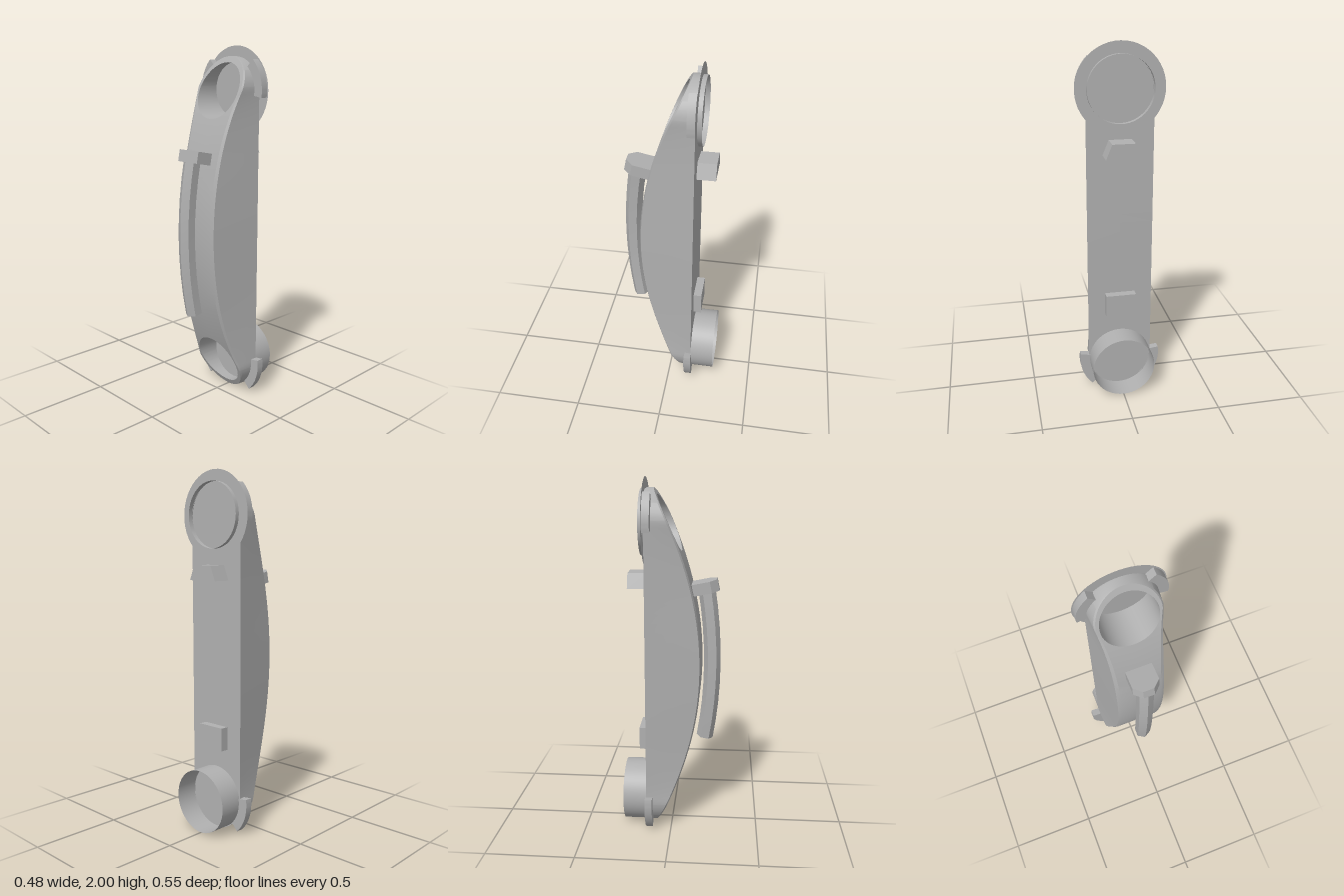
import * as THREE from 'three';
import { toCreasedNormals } from 'three/addons/utils/BufferGeometryUtils.js';

const LOW = 0.183, HIGH = 1.76;      // centres of the two round ends
const R = 0.183, HOLE = 0.15, BACK = -0.14;
const MID = (LOW + HIGH) / 2, HALF = (HIGH - LOW) / 2 + R;

// Distance of a height beyond the straight part, and half widths at that height
const chord = (r, d) => Math.sqrt(Math.max(0, r * r - d * d));
const outerX = y => chord(R, Math.max(0, LOW - y, y - HIGH));
const holeX = y => chord(HOLE, Math.min(Math.abs(y - LOW), Math.abs(y - HIGH)));
const frontZ = y => -0.10 + 0.265 * (1 - ((y - MID) / HALF) ** 2);

// Right half of the cross-section at height y: hole wall, front, bevel, side, back
function section(y) {
  const bx = outerX(y), hx = holeX(y), z = frontZ(y), k = bx / R;
  const t = Math.min(1, Math.abs(y - MID) / 0.8) ** 4;
  const fx = k * (0.136 + 0.038 * t), bevel = k * (0.019 - 0.012 * t);
  return [[hx, BACK], [hx, z], [fx - bevel, z], [fx, z - 0.008], [bx, BACK], [hx, BACK]]
    .map(([x, pz]) => new THREE.Vector3(x, y, pz));
}

function bodyGeometry() {
  const ys = [];
  for (const c of [LOW, HIGH]) {
    for (let i = 0; i <= 24; i++) {
      const a = Math.cos(i / 24 * Math.PI);
      ys.push(c + HOLE * a);
      if ((c === LOW) === (a < 0)) ys.push(c + R * a);
    }
  }
  for (let i = 1; i < 24; i++) ys.push(LOW + HOLE + i / 24 * (HIGH - LOW - 2 * HOLE));
  ys.push(MID - HALF, MID + HALF);
  ys.sort((a, b) => a - b);
  const rows = ys.filter((y, i) => i === 0 || y - ys[i - 1] > 1e-5).map(section);
  const pos = [];
  const tri = (a, b, c) => {
    const area = b.clone().sub(a).cross(c.clone().sub(a)).length();
    if (area < 1e-10) return;
    for (const p of [a, b, c]) pos.push(p.x, p.y, p.z);
    for (const p of [a, c, b]) pos.push(-p.x, p.y, p.z);
  };
  for (let j = 0; j + 1 < rows.length; j++) {
    const p = rows[j], q = rows[j + 1];
    for (let i = 0; i < 5; i++) {
      if (i === 0 && p[0].x < 1e-4 && q[0].x < 1e-4) continue;
      tri(p[i], p[i + 1], q[i + 1]);
      tri(p[i], q[i + 1], q[i]);
    }
  }
  const g = new THREE.BufferGeometry();
  g.setAttribute('position', new THREE.Float32BufferAttribute(pos, 3));
  return toCreasedNormals(g, 0.4);
}

// Straight extrusion of a polygon
function prism(points, depth) {
  const shape = new THREE.Shape(points.map(([x, y]) => new THREE.Vector2(x, y)));
  return new THREE.ExtrudeGeometry(shape, { depth, bevelEnabled: false });
}

// Curved lug: a sector of a ring
function lugGeometry() {
  const a = -0.15, b = 0.79, s = new THREE.Shape();
  s.absarc(0, 0, 0.234, a, b, false);
  s.absarc(0, 0, 0.175, b, a, true);
  s.closePath();
  const g = new THREE.ExtrudeGeometry(s, { depth: 0.041, bevelEnabled: false, curveSegments: 8 });
  return toCreasedNormals(g, 0.5);
}

// Six-sided rod bowed along the front
function rodGeometry() {
  const len = 0.88, g = new THREE.CylinderGeometry(0.047, 0.047, len, 6, 8);
  const p = g.attributes.position;
  for (let i = 0; i < p.count; i++) {
    const x = p.getX(i), y = p.getY(i), z = p.getZ(i), u = y / (len / 2);
    const slope = -0.19 * u;
    p.setXYZ(i, x + 0.005 - 0.011 * (1 - u * u), y + 0.97 - z * slope, z + 0.187 + 0.038 * (1 - u * u));
  }
  return toCreasedNormals(g, 0.3);
}

export function createModel() {
  const model = new THREE.Group();
  const grey = new THREE.MeshStandardMaterial({ color: 0xb0b0b0 });
  grey.name = 'grey';
  grey.side = THREE.DoubleSide;
  const add = (name, geometry, x = 0, y = 0, z = 0) => {
    const m = new THREE.Mesh(geometry, grey);
    m.name = name;
    m.position.set(x, y, z);
    model.add(m);
    return m;
  };

  add('body', bodyGeometry());

  // Floors of the two round pockets
  add('upperPocketFloor', new THREE.CircleGeometry(0.178, 48), 0, HIGH, BACK - 0.003);
  add('lowerPocketFloor', new THREE.CircleGeometry(0.178, 48), 0, LOW, BACK - 0.003);

  // Open tubes on the back and the flat flange
  const tube = (name, y, depth) => add(name,
    new THREE.CylinderGeometry(0.178, 0.178, depth, 48, 1, true).rotateX(Math.PI / 2), 0, y, BACK - depth / 2);
  tube('upperCollar', HIGH, 0.031);
  tube('lowerSocket', LOW, 0.134);
  add('flange', new THREE.RingGeometry(0.178, 0.24, 48), 0, HIGH, -0.148);

  // Curved lugs, mirrored left to right and top to bottom
  for (const [end, y, flip] of [['upper', HIGH, 1], ['lower', LOW, -1]]) {
    for (const side of [1, -1]) {
      const lug = add(end + (side > 0 ? 'Left' : 'Right') + 'Lug', lugGeometry(), 0, y, -0.145);
      lug.scale.set(side, flip, 1);
    }
  }

  // Bowed rod with its tilted head block
  add('rod', rodGeometry());
  const head = [[-0.072, 0], [0.072, 0], [0.072, 0.1], [0.03, 0.142], [-0.03, 0.142], [-0.072, 0.1]];
  add('rodHead', prism(head, 0.064).rotateX(Math.PI / 2), 0, 1.432, 0.107).rotation.x = -0.2;

  // Blocks on the back
  const wedge = [[-0.095, 1.412], [0.095, 1.412], [0.062, 1.494], [-0.062, 1.494]];
  add('upperBackBlock', prism(wedge, 0.105), 0, 0, -0.243);
  add('lowerBackBlock', new THREE.BoxGeometry(0.17, 0.13, 0.05), 0, 0.537, -0.161);

  return model;
}
